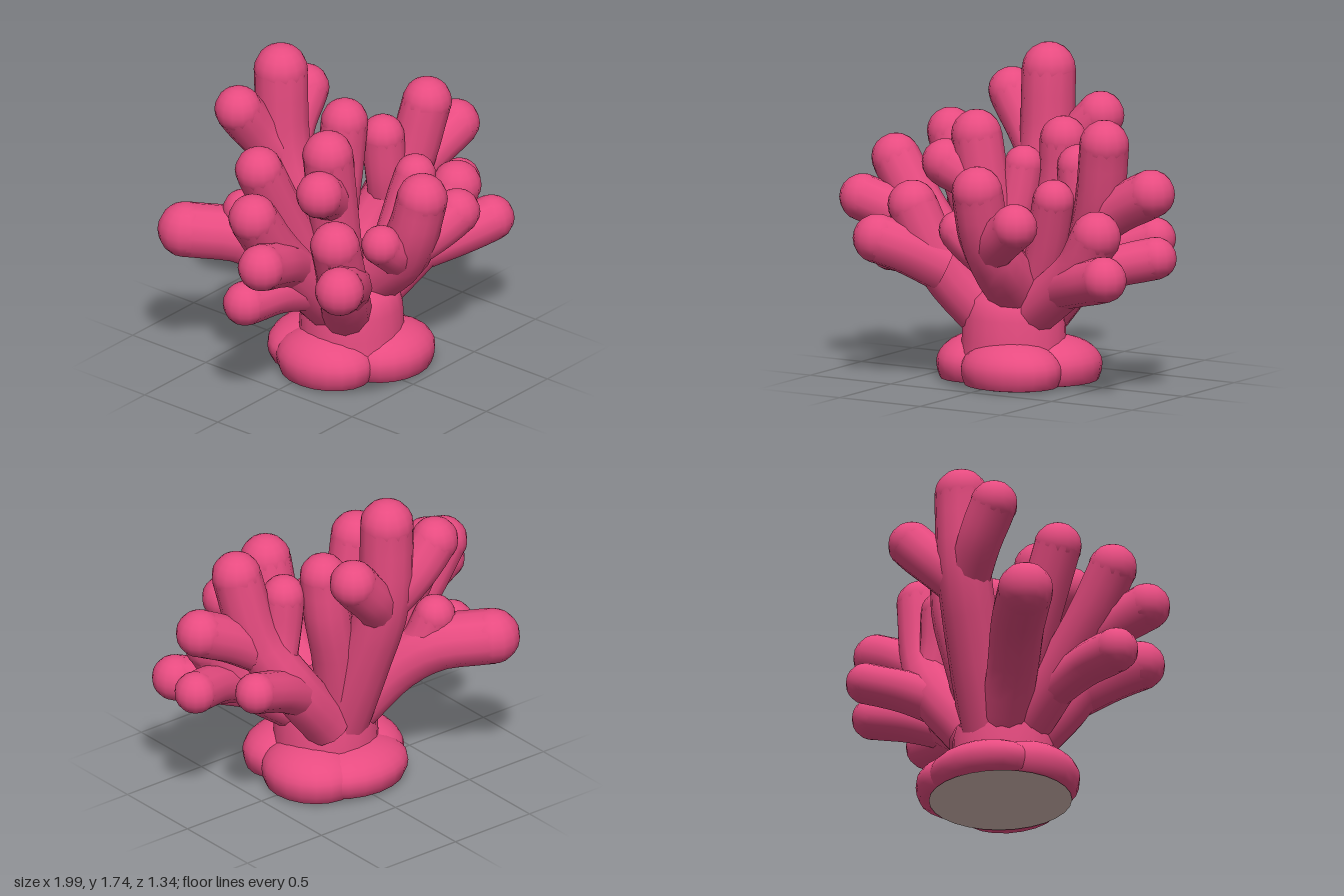
import * as THREE from 'three';
import { mergeGeometries } from 'three/addons/utils/BufferGeometryUtils.js';

const V = (p) => new THREE.Vector3(...p);

// Tapered round-tipped limb: a tube whose rings are rescaled, plus a ball at the tip
function limbGeometry(points, rootRadius, tipRadius) {
  const sides = 12, steps = 10;
  const curve = new THREE.CatmullRomCurve3(points.map(V));
  const tube = new THREE.TubeGeometry(curve, steps, 1, sides, false);
  const pos = tube.attributes.position;
  const p = new THREE.Vector3();
  for (let i = 0; i <= steps; i++) {
    const c = curve.getPointAt(i / steps);
    const t = Math.min(1, i / steps / 0.8);
    const r = THREE.MathUtils.lerp(rootRadius, tipRadius, t);
    for (let j = 0; j <= sides; j++) {
      const k = i * (sides + 1) + j;
      p.fromBufferAttribute(pos, k).sub(c).multiplyScalar(r).add(c);
      pos.setXYZ(k, p.x, p.y, p.z);
    }
  }
  const end = points[points.length - 1];
  const ball = new THREE.SphereGeometry(tipRadius, 14, 10);
  ball.translate(...end);
  return mergeGeometries([tube, ball]);
}

export function createModel() {
  const coral = new THREE.MeshStandardMaterial({ color: 0xe84c81 });
  coral.name = 'coral pink';
  const underside = new THREE.MeshStandardMaterial({ color: 0xdcc0b9 });
  underside.name = 'stone grey';

  const model = new THREE.Group();
  model.name = 'coral';
  const add = (name, geometry, material = coral, parent = model) => {
    const mesh = new THREE.Mesh(geometry, material);
    mesh.name = name;
    parent.add(mesh);
  };

  // Swollen foot made of overlapping lobes with flat bottoms: x, z, radius x, top, radius z
  const foot = new THREE.Group();
  foot.name = 'foot';
  model.add(foot);
  const lobes = [
    [0.09, 0.25, 0.28, 0.255, 0.23],
    [0.18, -0.02, 0.25, 0.255, 0.28],
    [-0.2, 0.07, 0.23, 0.255, 0.28],
    [-0.02, -0.12, 0.32, 0.24, 0.245],
  ];
  for (const [x, z, rx, top, rz] of lobes) {
    const g = new THREE.SphereGeometry(1, 20, 16);
    g.scale(rx, top - 0.1, rz);
    g.translate(x, 0.1, z);
    const pos = g.attributes.position;
    for (let i = 0; i < pos.count; i++) {
      const y = pos.getY(i);
      if (y < 0.1) pos.setY(i, Math.max(0.012, 0.1 + (y - 0.1) * 1.4));
    }
    add('footLobe', g, coral, foot);
  }

  // Flat underside
  const disc = new THREE.CircleGeometry(1, 28);
  disc.rotateX(Math.PI / 2);
  disc.scale(0.38, 1, 0.37);
  disc.translate(0, 0.004, 0.05);
  add('underside', disc, underside);

  // Short trunk
  const profile = [[0.29, 0.08], [0.275, 0.24], [0.27, 0.36], [0.245, 0.46], [0.14, 0.55], [0.001, 0.58]];
  const trunk = new THREE.LatheGeometry(profile.map(([r, y]) => new THREE.Vector2(r, y)), 20);
  trunk.translate(0, 0, 0.08);
  add('trunk', trunk);

  // Each branch: main limb [path, root radius, tip radius], then its side twigs
  const branches = {
    backBranch: [
      [[[0, 0.3, -0.03], [-0.03, 0.75, -0.2], [-0.06, 1.15, -0.33], [-0.06, 1.6, -0.355]], 0.15, 0.143],
      [[[-0.08, 1.1, -0.32], [-0.21, 1.28, -0.39], [-0.33, 1.45, -0.42]], 0.11, 0.126],
      [[[-0.02, 1.1, -0.33], [0.09, 1.23, -0.39], [0.22, 1.37, -0.42]], 0.11, 0.126],
    ],
    centreBranch: [
      [[[-0.06, 0.35, 0.08], [-0.14, 0.8, 0.09], [-0.22, 1.3, 0.1]], 0.13, 0.135],
      [[[-0.18, 1.0, 0.1], [-0.28, 1.09, 0.14], [-0.37, 1.15, 0.17]], 0.1, 0.125],
      [[[-0.1, 0.65, 0.06], [-0.04, 0.9, 0.01], [-0.01, 1.14, -0.03]], 0.08, 0.105],
    ],
    slimBackBranch: [
      [[[0.02, 0.35, -0.05], [0.09, 0.75, -0.11], [0.16, 1.05, -0.13], [0.18, 1.28, -0.12]], 0.12, 0.125],
    ],
    rearRightBranch: [
      [[[-0.08, 0.35, 0], [-0.3, 0.8, -0.07], [-0.52, 1.26, -0.12]], 0.13, 0.127],
    ],
    lowBackBranch: [
      [[[-0.08, 0.35, -0.03], [-0.27, 0.63, -0.18], [-0.42, 0.77, -0.33], [-0.63, 0.825, -0.53]], 0.13, 0.148],
      [[[-0.28, 0.64, -0.18], [-0.37, 0.79, -0.27], [-0.42, 0.93, -0.31]], 0.1, 0.11],
    ],
    upperLeftBranch: [
      [[[0.1, 0.36, -0.06], [0.34, 0.66, -0.06], [0.5, 0.95, 0.04], [0.58, 1.32, 0.11]], 0.14, 0.132],
      [[[0.48, 0.86, 0.04], [0.67, 0.99, 0.06], [0.85, 1.08, 0.08]], 0.11, 0.128],
      [[[0.41, 0.76, -0.02], [0.37, 0.95, 0], [0.35, 1.17, 0]], 0.1, 0.115],
      [[[0.3, 0.6, -0.07], [0.48, 0.7, -0.13], [0.7, 0.79, -0.2]], 0.12, 0.11],
    ],
    lowerLeftBranch: [
      [[[0.1, 0.36, 0.12], [0.38, 0.56, 0.2], [0.52, 0.68, 0.24], [0.63, 0.86, 0.27]], 0.13, 0.132],
      [[[0.38, 0.55, 0.21], [0.58, 0.61, 0.32], [0.76, 0.66, 0.4]], 0.11, 0.122],
      [[[0.48, 0.6, 0.23], [0.69, 0.69, 0.16], [0.88, 0.74, 0.08]], 0.1, 0.112],
      [[[0.15, 0.45, 0.13], [0.26, 0.75, 0.18], [0.34, 1.02, 0.23]], 0.09, 0.11],
    ],
    frontBranch: [
      [[[0.07, 0.53, 0.18], [0.07, 0.69, 0.36], [0.05, 0.87, 0.46], [0.05, 1.08, 0.52]], 0.16, 0.135],
      [[[0.05, 0.73, 0.4], [0.18, 0.83, 0.49], [0.3, 0.92, 0.55]], 0.11, 0.122],
      [[[0.04, 0.68, 0.37], [-0.06, 0.77, 0.4], [-0.14, 0.84, 0.4]], 0.1, 0.107],
    ],
    frontRightBranch: [
      [[[-0.1, 0.32, 0.13], [-0.28, 0.56, 0.26], [-0.38, 0.75, 0.32], [-0.46, 0.94, 0.35]], 0.14, 0.132],
      [[[-0.3, 0.62, 0.29], [-0.45, 0.71, 0.4], [-0.59, 0.77, 0.49]], 0.14, 0.13],
    ],
    farRightBranch: [
      [[[-0.1, 0.34, 0.06], [-0.38, 0.62, 0.06], [-0.6, 0.88, 0.05], [-0.76, 1.12, 0.04]], 0.14, 0.13],
      [[[-0.47, 0.74, 0.06], [-0.68, 0.85, 0.14], [-0.87, 0.92, 0.19]], 0.12, 0.125],
      [[[-0.3, 0.52, 0.06], [-0.57, 0.61, 0.04], [-0.8, 0.63, 0.02]], 0.1, 0.118],
    ],
  };
  for (const [name, limbs] of Object.entries(branches)) {
    const group = new THREE.Group();
    group.name = name;
    model.add(group);
    limbs.forEach(([path, root, tip], i) => {
      add(i === 0 ? 'limb' : 'twig', limbGeometry(path, root, tip), coral, group);
    });
  }
  return model;
}
